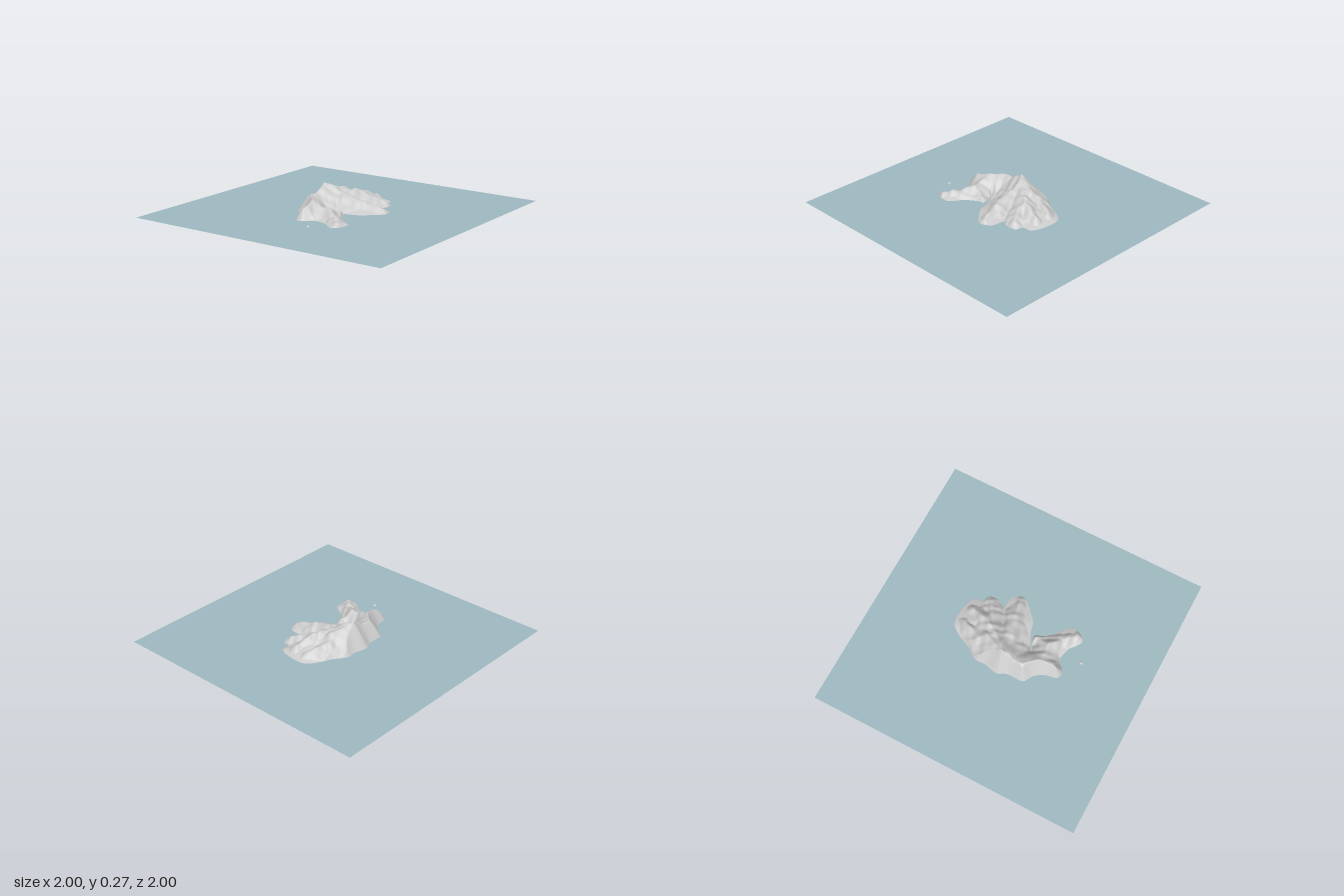
import * as THREE from 'three';

const WATER = 0.093;

// Shoreline of the island at water level, as x, z pairs
const shore = new THREE.CatmullRomCurve3([
  [-0.07, -0.415], [0.07, -0.42], [0.165, -0.38], [0.17, -0.32], [0.225, -0.3], [0.23, -0.21], [0.2, -0.17],
  [0.3, -0.15], [0.335, -0.065], [0.27, 0.01], [0.2, 0.07], [0.11, 0.095], [0.0, 0.16], [0.11, 0.12],
  [0.14, 0.18], [0.19, 0.245], [0.28, 0.31], [0.285, 0.38], [0.235, 0.445], [0.185, 0.42], [0.14, 0.385],
  [0.03, 0.365], [-0.03, 0.42], [-0.085, 0.41], [-0.11, 0.32], [-0.155, 0.255], [-0.22, 0.21],
  [-0.225, 0.09], [-0.255, 0.02], [-0.235, -0.08], [-0.235, -0.16], [-0.18, -0.24], [-0.13, -0.345],
].map(([x, z]) => new THREE.Vector3(x, 0, z)), true, 'centripetal').getPoints(132);

// Mountain ridges: chains of x, height, z
const ridges = [
  [[-0.07, 0.21, -0.15], [-0.145, 0.262, 0], [-0.15, 0.21, 0.09], [-0.14, 0.213, 0.16], [-0.07, 0.207, 0.26], [-0.05, 0.165, 0.39]],
  [[-0.145, 0.262, 0], [-0.06, 0.225, -0.07], [0.03, 0.2, -0.2], [0.07, 0.145, -0.33]],
  [[-0.08, 0.225, -0.03], [0.04, 0.195, -0.03], [0.17, 0.165, -0.06], [0.29, 0.125, -0.08]],
  [[-0.06, 0.215, -0.12], [-0.1, 0.18, -0.2], [-0.04, 0.14, -0.34]],
  [[0.02, 0.19, -0.15], [0.13, 0.16, -0.22], [0.19, 0.13, -0.26]],
  [[-0.07, 0.2, 0.26], [0.08, 0.16, 0.25], [0.16, 0.14, 0.31], [0.24, 0.125, 0.39]],
  [[0.08, 0.16, 0.25], [0.1, 0.13, 0.16]],
];

// Edges of the seabed: z, smallest x, largest x
const bounds = [
  [-0.47, -0.04, 0.08], [-0.44, -0.12, 0.18], [-0.38, -0.19, 0.24], [-0.2, -0.29, 0.3], [-0.1, -0.32, 0.39],
  [-0.05, -0.335, 0.42], [0.02, -0.345, 0.38], [0.09, -0.32, 0.26], [0.14, -0.31, 0.13], [0.18, -0.31, 0.17],
  [0.27, -0.25, 0.3], [0.38, -0.2, 0.35], [0.47, -0.17, 0.31], [0.6, -0.15, 0.26], [0.85, -0.17, 0.2],
];

// Distance from (x, z) to segment a-b, and position t along it
function toSegment(x, z, ax, az, bx, bz) {
  const dx = bx - ax, dz = bz - az;
  const t = THREE.MathUtils.clamp(((x - ax) * dx + (z - az) * dz) / (dx * dx + dz * dz || 1), 0, 1);
  return [Math.hypot(x - ax - dx * t, z - az - dz * t), t];
}

// Distance to the shoreline, positive on land
function shoreDistance(x, z) {
  let best = 9, inside = false;
  for (let i = 0; i < shore.length - 1; i++) {
    const a = shore[i], b = shore[i + 1];
    best = Math.min(best, toSegment(x, z, a.x, a.z, b.x, b.z)[0]);
    if ((a.z > z) !== (b.z > z) && x < a.x + (z - a.z) / (b.z - a.z) * (b.x - a.x)) inside = !inside;
  }
  return inside ? best : -best;
}

// Height of the ridges with their slopes, softly joined
function ridgeHeight(x, z) {
  let sum = 0;
  for (const chain of ridges) {
    let h = -1;
    for (let i = 0; i < chain.length - 1; i++) {
      const [ax, ay, az] = chain[i], [bx, by, bz] = chain[i + 1];
      const [d, t] = toSegment(x, z, ax, az, bx, bz);
      h = Math.max(h, ay + (by - ay) * t - 0.85 * (Math.hypot(d, 0.012) - 0.012));
    }
    sum += Math.exp(h * 180);
  }
  return Math.log(sum) / 180;
}

// Rock folds
const folds = (x, z) =>
  0.006 * Math.sin(38 * x + 21 * z + 2 * Math.sin(17 * z)) * Math.sin(29 * z - 16 * x + 1) +
  0.003 * Math.sin(71 * x - 43 * z + Math.sin(40 * x)) + 0.002 * Math.sin(95 * z + 33 * x);

function seabed(x, z) {
  const { smoothstep, lerp } = THREE.MathUtils;
  const island = 0.042 * smoothstep(x, -0.16, 0.02) + 0.027 * smoothstep(x, 0, 0.36);
  const shelf = 0.045 + 0.02 * smoothstep(z, 0.55, 0.85) + 0.006 * Math.sin(14 * x);
  const islet = 0.052 * Math.exp(-((x - 0.09) ** 2 + (z - 0.505) ** 2) / 0.0009);
  return lerp(island, shelf, smoothstep(z, 0.42, 0.56)) + islet;
}

function terrainHeight(x, z) {
  const d = shoreDistance(x, z);
  if (d < 0) return Math.max(seabed(x, z), WATER + 1.15 * d);
  const rise = ridgeHeight(x, z) - WATER + folds(x, z) * Math.min(1, d / 0.03);
  return WATER + THREE.MathUtils.clamp(rise, 0.35 * d, 1.6 * d);
}

function edgesAt(z) {
  let i = 0;
  while (i < bounds.length - 2 && z > bounds[i + 1][0]) i++;
  const [za, a0, a1] = bounds[i], [zb, b0, b1] = bounds[i + 1];
  const t = (z - za) / (zb - za);
  return [a0 + (b0 - a0) * t, a1 + (b1 - a1) * t];
}

function terrainGeometry(nx = 110, nz = 200) {
  const g = new THREE.PlaneGeometry(1, 1, nx, nz);
  const p = g.attributes.position;
  for (let i = 0; i < p.count; i++) {
    const z = -0.47 + 1.32 * (0.5 - p.getY(i));
    const [x0, x1] = edgesAt(z);
    const x = x0 + (x1 - x0) * (p.getX(i) + 0.5);
    p.setXYZ(i, x, Math.max(0, terrainHeight(x, z)), z);
  }
  g.computeVertexNormals();
  return g;
}

export function createModel() {
  const model = new THREE.Group();
  model.name = 'islandInSea';

  // Mountainous island with its sunken slopes and shelf
  const island = new THREE.Mesh(terrainGeometry(),
    new THREE.MeshStandardMaterial({ color: 0xcccccc, side: THREE.DoubleSide }));
  island.name = 'island';

  // Flat sheet of water
  const water = new THREE.Mesh(new THREE.PlaneGeometry(2, 2).rotateX(-Math.PI / 2),
    new THREE.MeshStandardMaterial({ color: 0x9fbac1, side: THREE.DoubleSide }));
  water.name = 'water';
  water.position.y = WATER;

  model.add(island, water);
  return model;
}
